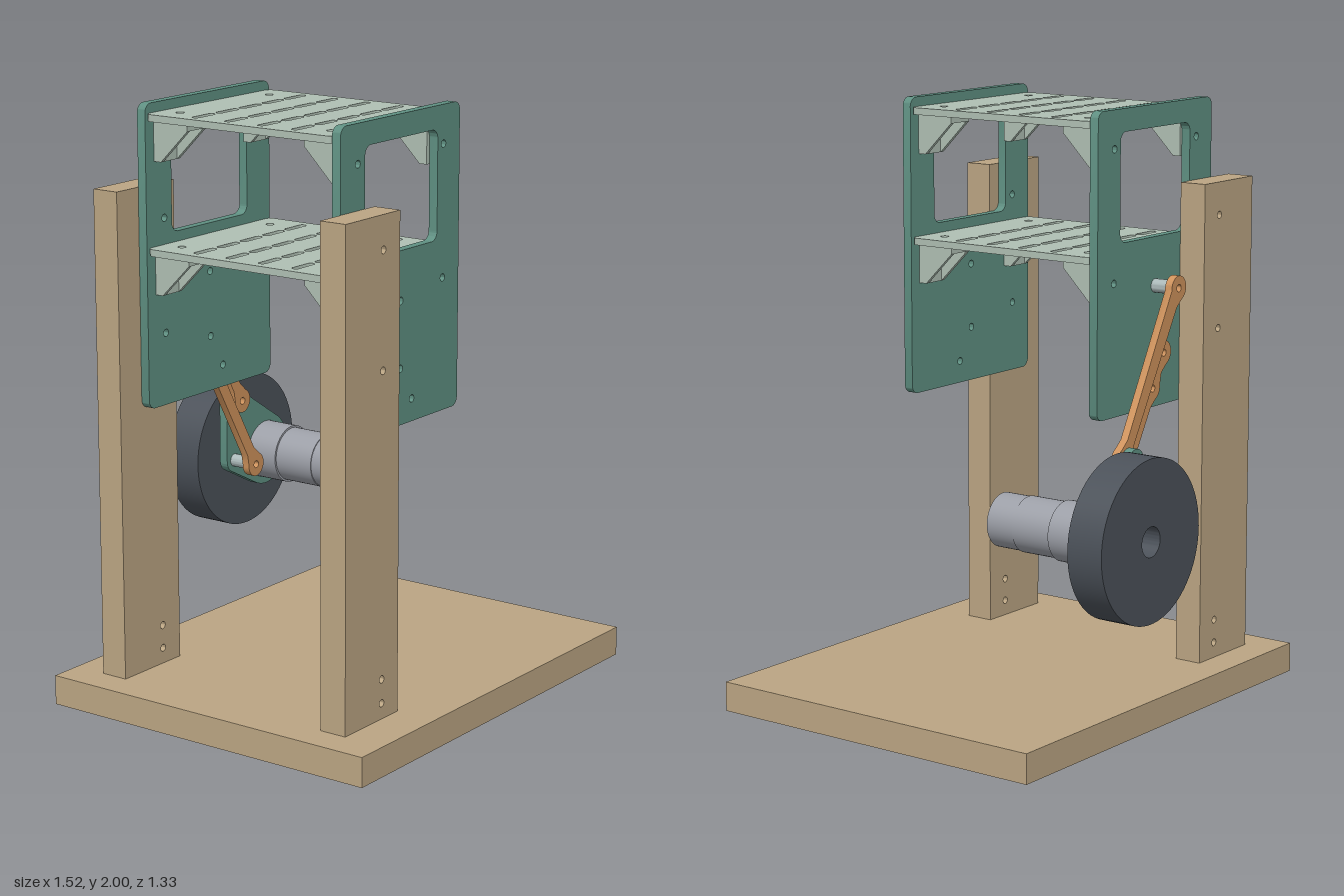
import * as THREE from 'three';
import { toCreasedNormals } from 'three/addons/utils/BufferGeometryUtils.js';

const mat = (name, color) => {
  const m = new THREE.MeshStandardMaterial({ color });
  m.name = name;
  return m;
};

// Rectangle outline with rounded corners, usable as Shape or hole Path
function roundRect(x0, y0, x1, y1, r, Kind = THREE.Shape) {
  const p = new Kind(), q = Math.PI / 2;
  p.moveTo(x0 + r, y0);
  p.absarc(x1 - r, y0 + r, r, -q, 0);
  p.absarc(x1 - r, y1 - r, r, 0, q);
  p.absarc(x0 + r, y1 - r, r, q, 2 * q);
  p.absarc(x0 + r, y0 + r, r, 2 * q, 3 * q);
  p.closePath();
  return p;
}

function rect(x0, y0, x1, y1) {
  return new THREE.Shape([[x0, y0], [x1, y0], [x1, y1], [x0, y1]].map(([x, y]) => new THREE.Vector2(x, y)));
}

function circle(x, y, r, Kind = THREE.Path) {
  const p = new Kind();
  p.absarc(x, y, r, 0, Math.PI * 2);
  return p;
}

// Extrude a shape between two z values
function slab(shape, z0, z1, segments = 12) {
  const g = new THREE.ExtrudeGeometry(shape, { depth: z1 - z0, bevelEnabled: false, curveSegments: segments });
  g.translate(0, 0, z0);
  return toCreasedNormals(g, 0.6);
}

export function createModel() {
  const root = new THREE.Group();
  root.name = 'legTestStand';
  const wood = mat('wood', 0xbba583);
  const green = mat('plate green', 0x5f9082);
  const pale = mat('pale green', 0xafbfb3);
  const orange = mat('link orange', 0xcf935c);
  const metal = mat('motor grey', 0x9c9fa7);
  const steel = mat('standoff steel', 0xabb9b9);
  const rubber = mat('tyre dark grey', 0x4b5159);

  const add = (name, geo, material, parent = root) => {
    const m = new THREE.Mesh(geo, material);
    m.name = name;
    parent.add(m);
    return m;
  };
  const HOLE = 0.0125, XL = -0.453, XR = 0.013;

  // Wooden base and two posts
  const base = new THREE.BoxGeometry(1.52, 0.1, 1.248);
  base.translate(0, 0.05, 0.04);
  add('base', base, wood);
  for (const [name, z0, z1] of [['frontPost', 0.425, 0.521], ['rearPost', -0.469, -0.373]]) {
    const s = rect(-0.65, 0.1, -0.365, 1.73);
    for (const y of [1.62, 1.24, 0.233, 0.153]) s.holes.push(circle(XL, y, HOLE));
    add(name, slab(s, z0, z1), wood);
  }

  // Side plates with window and bolt holes
  for (const [name, z0, z1] of [['frontPlate', 0.392, 0.424], ['rearPlate', -0.373, -0.341]]) {
    const s = roundRect(-0.543, 1, 0.104, 2, 0.03);
    s.holes.push(roundRect(-0.415, 1.567, -0.02, 1.925, 0.03, THREE.Path));
    const holes = [[XL, 1.874], [XR, 1.874], [XL, 1.62], [XL, 1.24], [XL, 1.44], [XR, 1.44],
      [-0.22, 1.405], [-0.22, 1.185], [-0.156, 1.075]];
    for (const [x, y] of holes) s.holes.push(circle(x, y, HOLE));
    add(name, slab(s, z0, z1), green);
  }

  // Slotted shelves, each on four corner brackets
  for (const [name, top] of [['upperShelf', 1.968], ['lowerShelf', 1.533]]) {
    const shelf = new THREE.Group();
    shelf.name = name;
    root.add(shelf);
    const s = roundRect(-0.543, -0.341, 0.104, 0.392, 0.025);
    for (let i = 0; i < 5; i++) for (let j = 0; j < 4; j++) {
      const x = -0.459 + i * 0.12, z = -0.17 + j * 0.13;
      s.holes.push(roundRect(x - 0.051, z - 0.0125, x + 0.051, z + 0.0125, 0.012, THREE.Path));
    }
    for (const x of [XL, XR]) for (const z of [-0.27, 0.322]) s.holes.push(circle(x, z, 0.014));
    const g = slab(s, 0, 0.023, 8);
    g.rotateX(Math.PI / 2);
    g.translate(0, top, 0);
    add('shelfPanel', g, pale, shelf);

    for (const x of [XL, XR]) for (const [wall, turn] of [[0.392, 0], [-0.341, Math.PI]]) {
      const bracket = new THREE.Group();
      bracket.name = 'cornerBracket';
      bracket.position.set(x, top - 0.023, wall);
      bracket.rotation.y = turn;
      shelf.add(bracket);
      // Upright flange against the plate
      const f = rect(-0.048, -0.135, 0.048, 0);
      f.holes.push(circle(0, -0.071, HOLE));
      add('uprightFlange', slab(f, -0.028, 0), pale, bracket);
      // Flat flange under the shelf
      const t = rect(-0.048, -0.137, 0.048, -0.028);
      t.holes.push(circle(0, -0.07, HOLE));
      const tg = slab(t, 0, 0.026);
      tg.rotateX(Math.PI / 2);
      add('flatFlange', tg, pale, bracket);
      // Triangular side ribs
      for (const rx of [-0.048, 0.034]) {
        const rib = new THREE.Shape([[0.028, -0.135], [0.137, -0.026], [0.028, -0.026]]
          .map(([a, b]) => new THREE.Vector2(a, b)));
        const rg = slab(rib, 0, 0.014);
        rg.rotateY(Math.PI / 2);
        rg.translate(rx, 0, 0);
        add('sideRib', rg, pale, bracket);
      }
    }
  }

  // Link bar with round bosses at both ends and optionally along its length
  function link(name, a, b, z0, z1, mids = []) {
    const L = Math.hypot(b[0] - a[0], b[1] - a[1]);
    const r = 0.041, w = 0.021, e = 1.45 * r, k = THREE.MathUtils.degToRad(55), P = Math.PI;
    const s = new THREE.Shape();
    s.moveTo(e, w);
    s.absarc(0, 0, r, k, 2 * P - k);
    s.lineTo(e, -w);
    for (const m of mids) {
      s.lineTo(m - e, -w);
      s.absarc(m, 0, r, P + k, 2 * P - k);
      s.lineTo(m + e, -w);
    }
    s.lineTo(L - e, -w);
    s.absarc(L, 0, r, k - P, P - k);
    s.lineTo(L - e, w);
    for (const m of [...mids].reverse()) {
      s.lineTo(m + e, w);
      s.absarc(m, 0, r, k, P - k);
      s.lineTo(m - e, w);
    }
    s.closePath();
    for (const h of [0, ...mids, L]) s.holes.push(circle(h, 0, HOLE));
    const g = slab(s, z0, z1);
    g.rotateZ(Math.atan2(b[1] - a[1], b[0] - a[0]));
    g.translate(a[0], a[1], 0);
    add(name, g, orange);
  }
  const A = [-0.22, 1.405], B = [0.077, 0.885], C = [-0.22, 1.185], D = [0.077, 0.668];
  link('upperLink', A, B, -0.468, -0.441);
  link('lowerLink', C, D, -0.411, -0.384, [0.127]);

  // Hollow standoffs at the pivots
  const ring = (name, x, y, ro, ri, z0, z1, material, seg = 16) => {
    const s = circle(x, y, ro, THREE.Shape);
    s.holes.push(circle(x, y, ri));
    add(name, slab(s, z0, z1, seg), material);
  };
  ring('upperStandoff', ...A, 0.023, HOLE, -0.441, -0.373, steel);
  ring('lowerStandoff', ...C, 0.023, HOLE, -0.384, -0.373, steel);
  ring('middleStandoff', -0.156, 1.075, 0.023, HOLE, -0.384, -0.373, steel);
  ring('upperMountStandoff', ...B, 0.022, HOLE, -0.479, -0.468, steel);
  ring('lowerMountStandoff', ...D, 0.022, HOLE, -0.479, -0.411, steel);

  // Motor mount: rounded outline wrapped around the two pivots and the motor
  const M = [0.254, 0.67], R = 0.125, r = 0.041;
  const tangent = (p, q, rp, rq) =>
    Math.atan2(q[1] - p[1], q[0] - p[0]) - Math.PI / 2 + Math.asin((rq - rp) / Math.hypot(q[0] - p[0], q[1] - p[1])) * -1;
  const dm = tangent(D, M, r, R), mb = tangent(M, B, R, r);
  const mount = new THREE.Shape();
  mount.absarc(...D, r, Math.PI, dm + 2 * Math.PI);
  mount.absarc(...M, R, dm, mb);
  mount.absarc(...B, r, mb, Math.PI);
  mount.closePath();
  for (const p of [B, D]) mount.holes.push(circle(...p, HOLE));
  add('motorMount', slab(mount, -0.51, -0.479, 24), green);

  // Motor, shaft and hub
  const cyl = (name, x, rad, z0, z1, material) => {
    const g = new THREE.CylinderGeometry(rad, rad, z1 - z0, 48);
    g.rotateX(Math.PI / 2);
    g.translate(x, 0.67, (z0 + z1) / 2);
    add(name, g, material);
  };
  cyl('motorGearbox', M[0], 0.1, -0.479, -0.362, metal);
  cyl('motorBody', M[0], 0.093, -0.362, -0.214, metal);
  cyl('motorCap', M[0], 0.09, -0.214, -0.11, metal);
  cyl('shaft', 0.214, 0.022, -0.58, -0.51, metal);
  cyl('hub', 0.214, 0.05, -0.59, -0.525, metal);

  // Wheel with an open bore
  ring('wheel', 0.214, 0.67, 0.27, 0.05, -0.665, -0.535, rubber, 40);
  return root;
}
